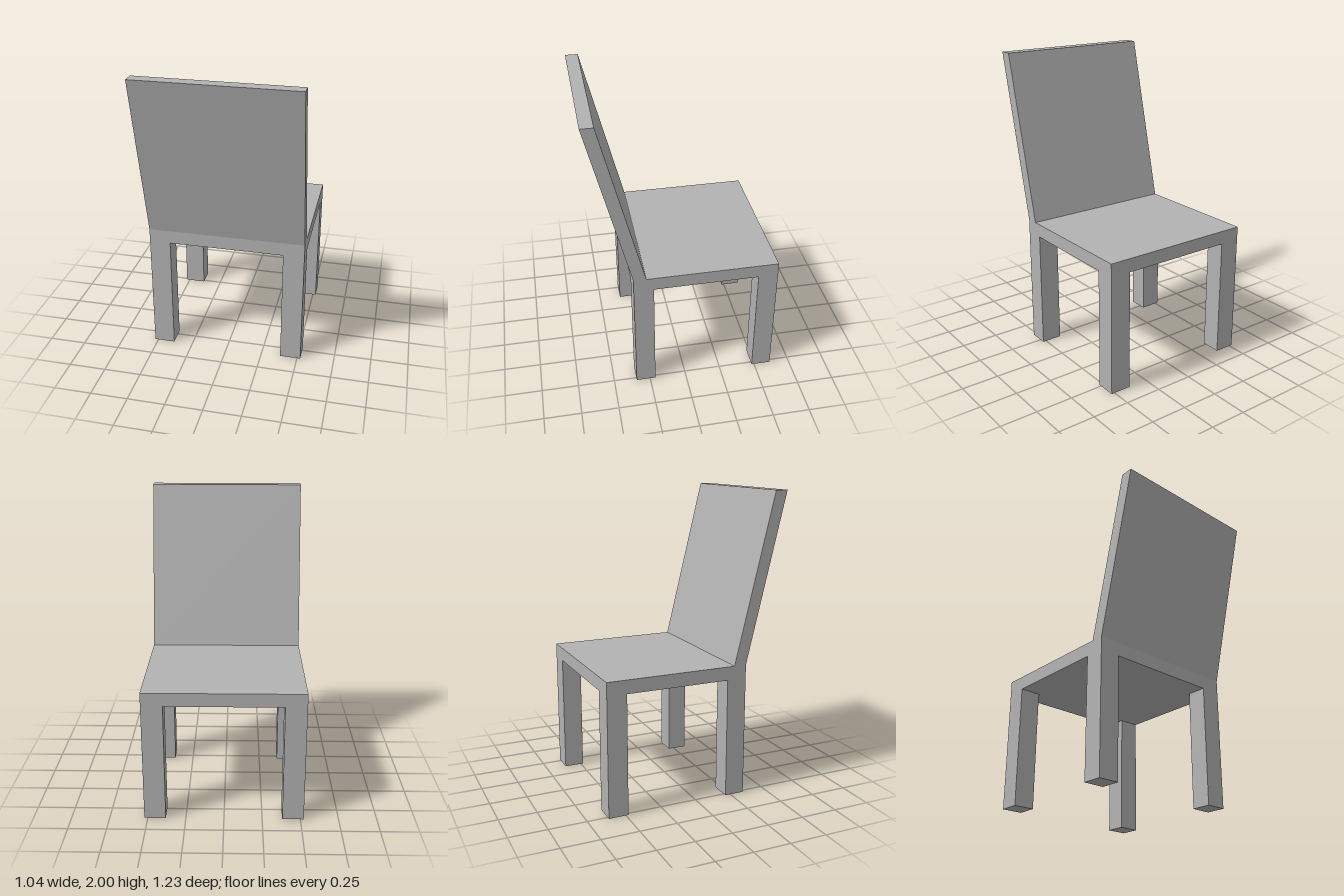
import * as THREE from 'three';

export function createModel() {
  const chair = new THREE.Group();
  chair.name = 'chair';
  const grey = new THREE.MeshStandardMaterial({ color: 0xb2b2b2 });
  grey.name = 'grey';

  const halfWidth = 0.522, seatBottom = 0.8, seatTop = 0.89;
  const seatFront = -0.615, seatBack = 0.345;
  const legWidth = 0.14, legDepth = 0.132;

  const add = (name, geometry, x = 0, y = 0, z = 0) => {
    const mesh = new THREE.Mesh(geometry, grey);
    mesh.name = name;
    mesh.position.set(x, y, z);
    chair.add(mesh);
  };

  // Seat slab
  add('seat', new THREE.BoxGeometry(halfWidth * 2, seatTop - seatBottom, seatBack - seatFront),
    0, (seatTop + seatBottom) / 2, (seatBack + seatFront) / 2);

  // Four square legs, flush with the seat corners
  const legGeometry = new THREE.BoxGeometry(legWidth, seatBottom, legDepth);
  for (const side of [-1, 1]) {
    for (const [name, z] of [['seatEdgeLeg', seatFront + legDepth / 2], ['backrestLeg', seatBack - legDepth / 2]]) {
      add(name, legGeometry, side * (halfWidth - legWidth / 2), seatBottom / 2, z);
    }
  }

  // Leaning backrest: side profile (z, y) extruded across the width
  const profile = new THREE.Shape([
    [0.261, seatTop], [seatBack, seatTop], [0.615, 2], [0.532, 2],
  ].map(([z, y]) => new THREE.Vector2(z, y)));
  const backrest = new THREE.ExtrudeGeometry(profile, { depth: halfWidth * 2, bevelEnabled: false });
  backrest.translate(0, 0, -halfWidth).rotateY(-Math.PI / 2);
  add('backrest', backrest);

  return chair;
}
